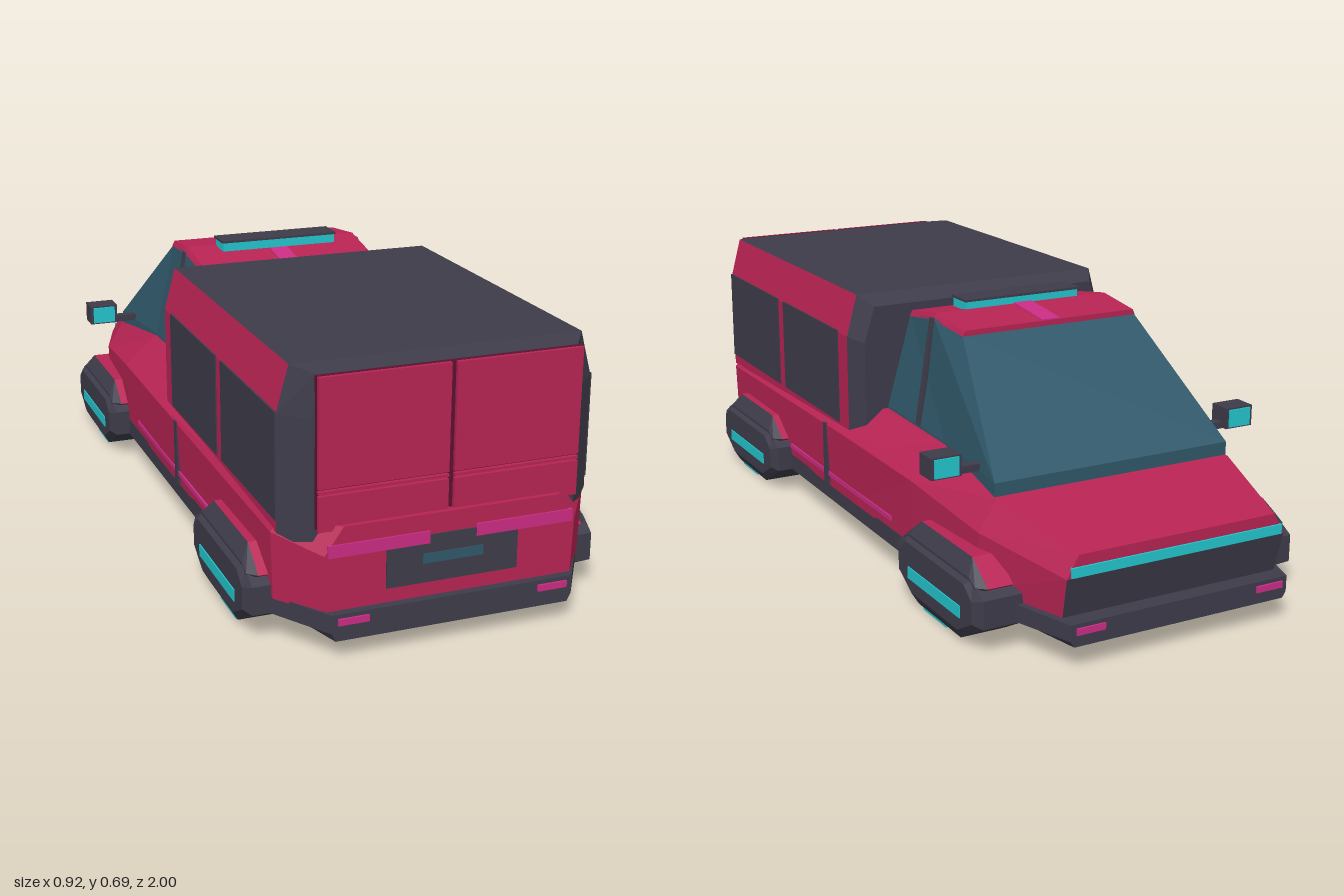
import * as THREE from 'three';

const mat = (name, color, extra = {}) => Object.assign(new THREE.MeshStandardMaterial({ color, ...extra }), { name });

export function createModel() {
  const red = mat('crimson paint', 0xb82454), charcoal = mat('charcoal', 0x3e3c4a),
    glass = mat('teal glass', 0x30586a), cyan = mat('cyan light', 0x22c6ce),
    magenta = mat('magenta light', 0xcc2d85), maroon = mat('dark seam', 0x5c1230);
  const group = new THREE.Group();
  group.name = 'pickupCamper';

  // Flat-faced loft through mirrored half sections [x, y, z]; pick(section, edge) gives the material,
  // section -1 and 'end' being the two caps.
  function loft(name, halves, pick, parent = group) {
    const rings = halves.map(h => [...h, ...h.slice().reverse().map(([x, y, z]) => [-x, y, z])]);
    const faces = new Map();
    const quad = (m, a, b, c, d) => {
      if (!faces.has(m)) faces.set(m, []);
      faces.get(m).push(...a, ...b, ...c, ...a, ...c, ...d);
    };
    const n = rings[0].length, last = rings.length - 1;
    for (let k = 0; k < last; k++) for (let i = 0; i < n; i++) {
      const j = (i + 1) % n, A = rings[k], B = rings[k + 1];
      quad(pick(k, i), A[i], B[i], B[j], A[j]);
    }
    for (let i = 0; i < n / 2 - 1; i++) {
      const A = rings[0], B = rings[last], p = n - 1 - i, q = n - 2 - i;
      quad(pick(-1, i), A[i], A[i + 1], A[q], A[p]);
      quad(pick('end', i), B[p], B[q], B[i + 1], B[i]);
    }
    const geo = new THREE.BufferGeometry(), pos = [], mats = [];
    for (const [m, list] of faces) {
      geo.addGroup(pos.length / 3, list.length / 3, mats.length);
      mats.push(m);
      for (const v of list) pos.push(v);
    }
    geo.setAttribute('position', new THREE.Float32BufferAttribute(pos, 3));
    geo.computeVertexNormals();
    const mesh = new THREE.Mesh(geo, mats);
    mesh.name = name;
    parent.add(mesh);
    return mesh;
  }
  // Cross-section at one z, with optional own z for a point
  const at = (z, ...pts) => pts.map(([x, y, pz = z]) => [x, y, pz]);

  function box(name, m, [w, h, d], [x, y, z], parent = group) {
    const mesh = new THREE.Mesh(new THREE.BoxGeometry(w, h, d), m);
    mesh.name = name;
    mesh.position.set(x, y, z);
    parent.add(mesh);
    return mesh;
  }

  // Dark sill and bumpers
  loft('sill', [
    at(0.995, [0.29, 0.05], [0.30, 0.07], [0.30, 0.115]),
    at(0.85, [0.33, 0.045], [0.393, 0.07], [0.393, 0.116]),
    at(-0.4, [0.33, 0.045], [0.397, 0.07], [0.397, 0.116]),
    at(-0.75, [0.32, 0.045], [0.377, 0.07], [0.377, 0.116]),
    at(-0.995, [0.29, 0.06], [0.30, 0.075], [0.30, 0.115]),
  ], () => charcoal);

  // Painted lower body with hood; dark grille on the nose
  loft('lowerBody', [
    at(0.975, [0.305, 0.11], [0.31, 0.25], [0.265, 0.315]),
    at(0.86, [0.39, 0.11], [0.395, 0.275], [0.37, 0.31]),
    at(-0.03, [0.397, 0.11], [0.405, 0.29], [0.31, 0.365]),
    at(-0.4, [0.395, 0.11], [0.40, 0.285], [0.31, 0.365]),
    at(-0.71, [0.375, 0.11], [0.378, 0.25], [0.33, 0.325]),
    at(-0.975, [0.295, 0.11, -0.95], [0.30, 0.216], [0.27, 0.27]),
  ], (k, i) => (k === 'end' && i === 0 ? charcoal : red));
  box('noseLight', cyan, [0.58, 0.024, 0.008], [0, 0.23, -0.976]);

  // Camper box: painted sides, dark roof, dark chamfered frames at both ends
  loft('camperBox', [
    at(0.94, [0.325, 0.25], [0.325, 0.56], [0.315, 0.66]),
    at(0.88, [0.388, 0.28], [0.388, 0.56], [0.358, 0.67]),
    at(0, [0.388, 0.28], [0.388, 0.56], [0.358, 0.67]),
    at(-0.05, [0.36, 0.28], [0.36, 0.55], [0.33, 0.645]),
  ], (k, i) => (k === 1 && i !== 2 ? red : charcoal));

  // Double doors with seams
  box('doorSeam', maroon, [0.64, 0.355, 0.014], [0, 0.482, 0.944]);
  for (const s of [1, -1]) {
    box('upperDoor', red, [0.312, 0.256, 0.022], [s * 0.163, 0.531, 0.95]);
    box('lowerDoor', red, [0.312, 0.084, 0.022], [s * 0.163, 0.344, 0.95]);
    box('doorRail', red, [0.312, 0.007, 0.022], [s * 0.163, 0.394, 0.95]);
    box('tailLight', magenta, [0.245, 0.03, 0.008], [s * 0.18, 0.26, 0.975]);
    for (const e of [1, -1])
      box('bumperLight', magenta, [0.075, 0.016, 0.008], [s * 0.248, 0.097, e * 0.996]);
  }
  box('tailPanel', charcoal, [0.325, 0.115, 0.006], [0, 0.208, 0.976]);
  box('tailPlate', glass, [0.15, 0.024, 0.008], [0, 0.21, 0.977]);

  // Glass cab, rings running from roof down to hood
  loft('cabGlass', [
    [[0.25, 0.625, -0.10], [0.258, 0.65, -0.25], [0.25, 0.635, -0.39]],
    [[0.295, 0.37, -0.05], [0.305, 0.37, -0.40], [0.33, 0.36, -0.70]],
    [[0.295, 0.34, -0.05], [0.305, 0.34, -0.40], [0.33, 0.315, -0.70]],
  ], (k, i) => (i === 5 ? charcoal : glass));
  loft('cabRoof', [
    at(-0.10, [0.252, 0.622], [0.245, 0.637]),
    at(-0.25, [0.26, 0.645], [0.25, 0.661]),
    at(-0.395, [0.252, 0.632], [0.245, 0.646]),
  ], () => red);
  loft('roofStripe', [
    at(-0.099, [0.026, 0.634], [0.026, 0.64]),
    at(-0.25, [0.026, 0.658], [0.026, 0.664]),
    at(-0.394, [0.026, 0.643], [0.026, 0.649]),
  ], () => magenta);

  // Roof light bar
  box('lightBar', cyan, [0.33, 0.026, 0.07], [0, 0.669, -0.215]);
  box('lightBarCap', charcoal, [0.338, 0.006, 0.078], [0, 0.683, -0.215]);

  // Parts repeated on each side
  for (const s of [1, -1]) {
    for (const z of [0.685, 0.255])
      box('sideWindow', charcoal, [0.008, 0.255, 0.39], [s * 0.387, 0.437, z]);
    box('cabPillar', charcoal, [0.008, 0.28, 0.02], [s * 0.28, 0.51, -0.245]).rotation.z = s * 0.155;
    box('sideSeam', charcoal, [0.01, 0.175, 0.022], [s * 0.4, 0.203, 0.13]);
    box('sideStripe', magenta, [0.008, 0.012, 0.68], [s * 0.397, 0.146, 0.06]);
    box('mirrorArm', charcoal, [0.14, 0.018, 0.025], [s * 0.345, 0.372, -0.6]);
    box('mirror', charcoal, [0.08, 0.054, 0.06], [s * 0.42, 0.393, -0.602]);
    for (const e of [1, -1])
      box('mirrorLight', cyan, [0.064, 0.046, 0.006], [s * 0.42, 0.393, -0.602 + e * 0.031]);

    // Hover pods; local z points outward
    for (const z of [0.63, -0.62]) {
      const pod = new THREE.Group();
      pod.name = 'hoverPod';
      pod.position.z = z;
      pod.rotation.y = s * Math.PI / 2;
      group.add(pod);
      loft('podShell', [
        at(0.45, [0.12, 0.035], [0.19, 0.075], [0.19, 0.13], [0.15, 0.16]),
        at(0.435, [0.11, 0.008], [0.22, 0.07], [0.22, 0.14], [0.165, 0.17]),
        at(0.32, [0.11, 0.008], [0.22, 0.07], [0.22, 0.14], [0.165, 0.17]),
        at(0.305, [0.10, 0.05], [0.2, 0.075], [0.2, 0.13], [0.15, 0.16]),
      ], () => charcoal, pod);
      loft('fender', [
        at(0.438, [0.15, 0.12], [0.185, 0.16], [0.155, 0.175]),
        at(0.415, [0.15, 0.12], [0.205, 0.16], [0.13, 0.212]),
        at(0.35, [0.15, 0.12], [0.205, 0.16], [0.13, 0.212]),
      ], k => (k === 0 || k === -1 ? charcoal : red), pod);
      box('podLight', cyan, [0.27, 0.03, 0.008], [0, 0.085, 0.449], pod);
      box('podThruster', cyan, [0.12, 0.009, 0.11], [-s * 0.03, 0.0045, 0.378], pod);
    }
  }
  return group;
}
